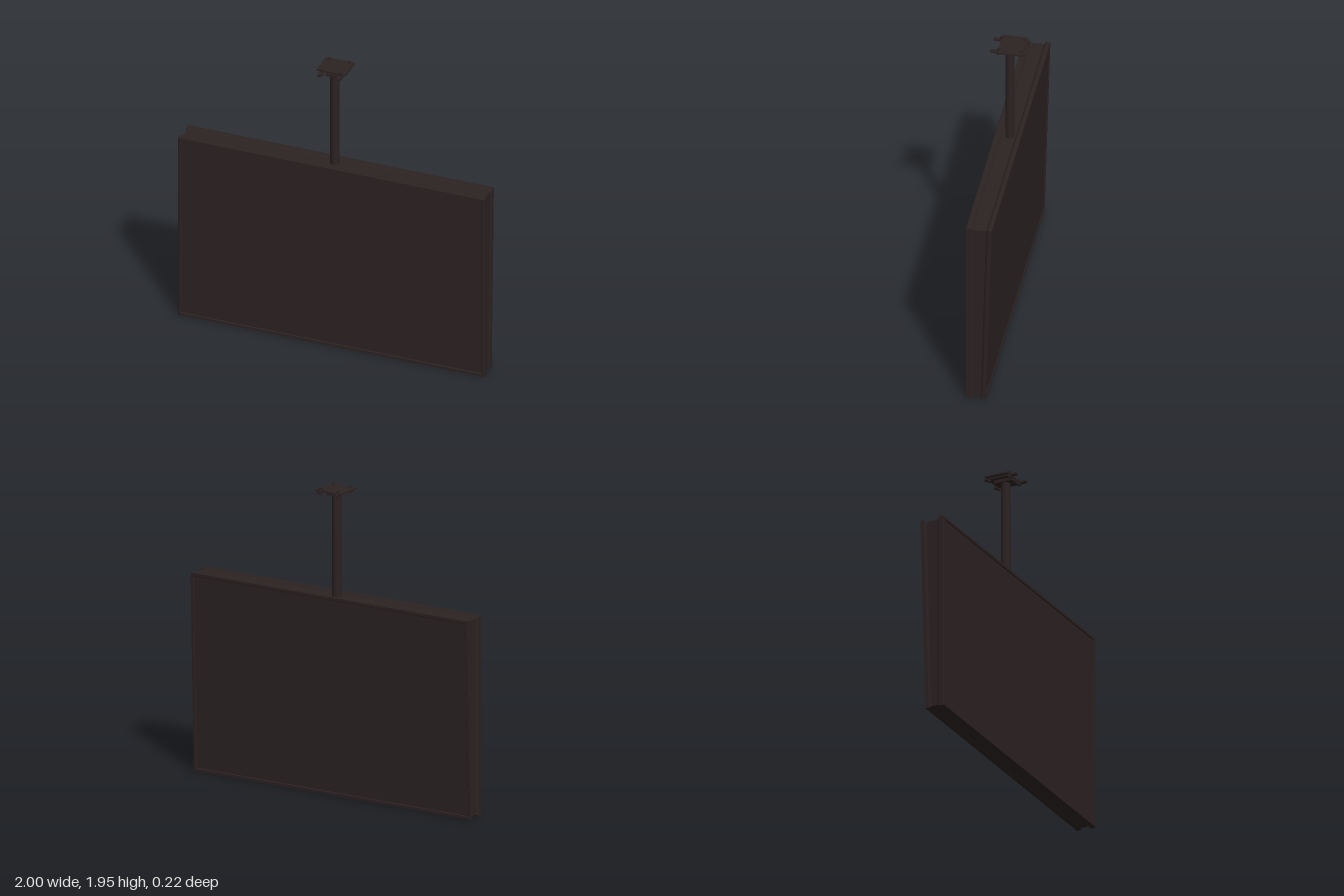
import * as THREE from 'three';

const dark = new THREE.MeshStandardMaterial({ color: 0x2c2222 });
dark.name = 'dark brown plastic';

const X = -0.012; // the mount sits slightly off centre
const TOP = 1.27;

function add(group, name, geometry, x, y, z) {
  const mesh = new THREE.Mesh(geometry, dark);
  mesh.name = name;
  mesh.position.set(x, y, z);
  group.add(mesh);
  return mesh;
}

// Joins rectangular rings front to back: [inset, z at the bottom, z at the top]
function ringShell(rings) {
  const pos = [];
  const corners = rings.map(([inset, zb, zt]) => {
    const w = 1 - inset;
    return [[-w, inset, zb], [w, inset, zb], [w, TOP - inset, zt], [-w, TOP - inset, zt]];
  });
  const quad = (a, b, c, d) => pos.push(...a, ...b, ...c, ...a, ...c, ...d);
  quad(...corners[0]);
  for (let i = 0; i < corners.length - 1; i++) {
    const p = corners[i], q = corners[i + 1];
    for (let j = 0; j < 4; j++) {
      const k = (j + 1) % 4;
      quad(p[j], q[j], q[k], p[k]);
    }
  }
  quad(...corners[corners.length - 1].slice().reverse());
  const g = new THREE.BufferGeometry();
  g.setAttribute('position', new THREE.Float32BufferAttribute(pos, 3));
  g.computeVertexNormals();
  return g;
}

export function createModel() {
  const model = new THREE.Group();
  model.name = 'ceilingMountedDisplay';

  // Display housing: recessed screen, bezel, side groove, tapered back with a rim
  add(model, 'displayHousing', ringShell([
    [0.022, 0.084, 0.084],
    [0.018, 0.09, 0.09],
    [0.002, 0.09, 0.09],
    [0, 0.087, 0.087],
    [0, 0.058, 0.058],
    [0.013, 0.048, 0.048],
    [0.013, 0.0, -0.035],
    [0.003, -0.014, -0.048],
    [0.003, -0.036, -0.072],
    [0.02, -0.036, -0.072],
    [0.024, -0.031, -0.067],
  ]), 0, 0, 0);

  // Pole and its collars
  add(model, 'pole', new THREE.CylinderGeometry(0.028, 0.028, 0.7, 20), X, 1.58, 0);
  add(model, 'poleFlange', new THREE.BoxGeometry(0.075, 0.02, 0.125), X, 1.917, 0);

  // Ceiling plate with two cross rails
  add(model, 'ceilingPlate', new THREE.BoxGeometry(0.19, 0.01, 0.155), X, 1.936, -0.017);
  for (const side of [-1, 1]) {
    const x = X + side * 0.063;
    add(model, 'rail', new THREE.BoxGeometry(0.024, 0.012, 0.22), x, 1.927, 0);
    // Bolts through the rails
    for (const z of [-0.08, 0.06]) {
      add(model, 'bolt', new THREE.CylinderGeometry(0.008, 0.008, 0.045, 8), x, 1.93, z);
      add(model, 'nut', new THREE.CylinderGeometry(0.013, 0.013, 0.01, 6), x, 1.916, z);
    }
  }
  return model;
}
